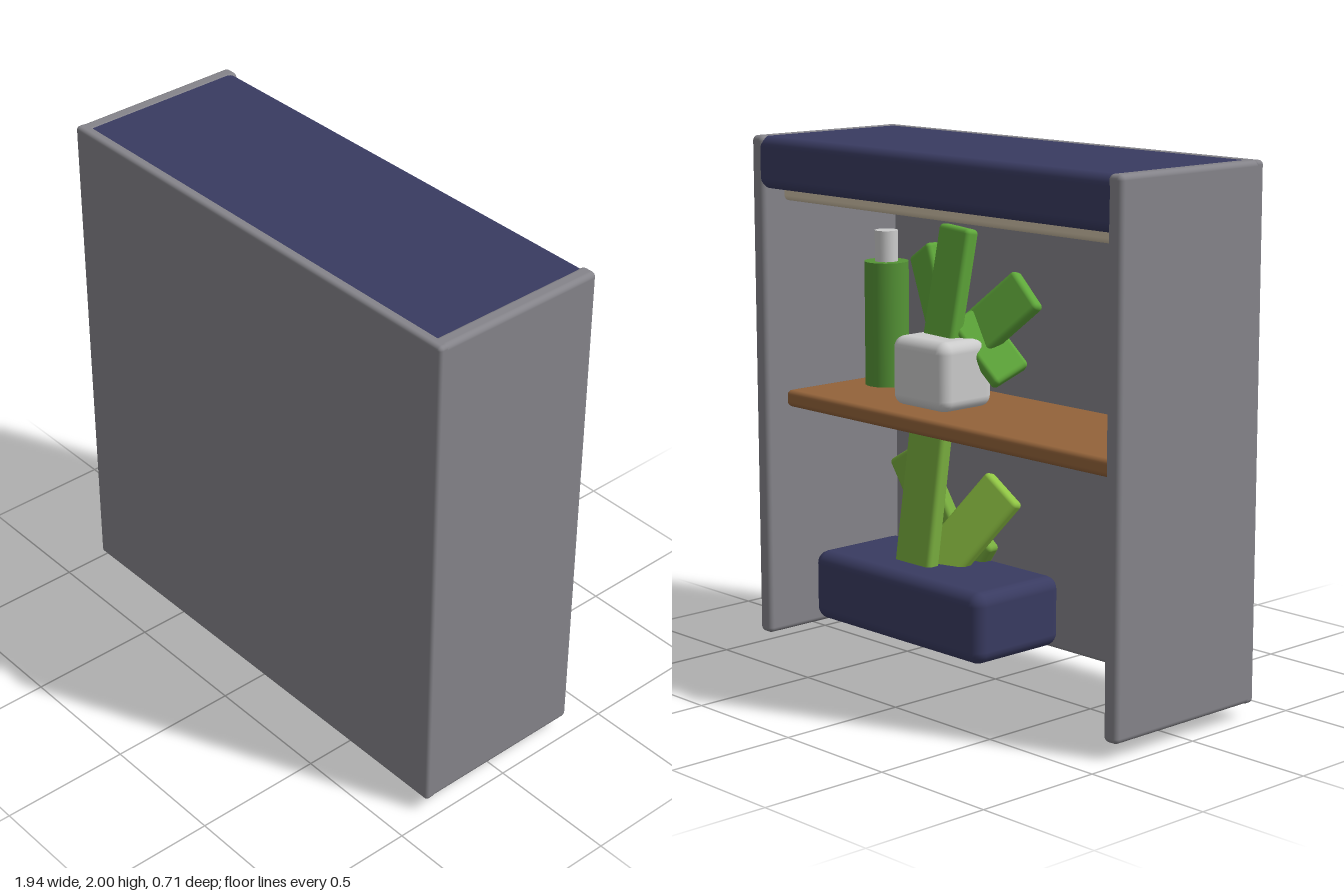
import * as THREE from 'three';
import { RoundedBoxGeometry } from 'three/addons/geometries/RoundedBoxGeometry.js';

const mat = (color) => new THREE.MeshStandardMaterial({ color });

export function createModel() {
  const group = new THREE.Group();
  const shell = mat(0x85848a), navy = mat(0x393b61), wood = mat(0x93633a);
  const cream = mat(0xcdbfa6), grey = mat(0xcccccc);
  const lime = mat(0x8fc443), lime2 = mat(0x78ad3e), green = mat(0x5fa83a), bottleGreen = mat(0x559436);

  const add = (parent, name, geometry, material) => {
    const mesh = new THREE.Mesh(geometry, material);
    mesh.name = name;
    parent.add(mesh);
    return mesh;
  };

  // Rounded box given by its min and max corners
  const block = (name, a, b, r, material) => {
    const size = a.map((v, i) => b[i] - v);
    const mesh = add(group, name, new RoundedBoxGeometry(...size, 3, r), material);
    mesh.position.set(...a.map((v, i) => (v + b[i]) / 2));
    return mesh;
  };

  // Flat leaf running from base to tip, its broad side turned toward facing
  const leaf = (parent, name, base, tip, width, facing, material) => {
    const p = new THREE.Vector3(...base), q = new THREE.Vector3(...tip);
    const axis = q.clone().sub(p), length = axis.length();
    axis.normalize();
    const side = axis.clone().cross(new THREE.Vector3(...facing)).normalize();
    const normal = side.clone().cross(axis);
    const mesh = add(parent, name, new RoundedBoxGeometry(width, length, 0.06, 3, 0.018), material);
    mesh.quaternion.setFromRotationMatrix(new THREE.Matrix4().makeBasis(side, axis, normal));
    mesh.position.copy(p).add(q).multiplyScalar(0.5);
  };

  // Cabinet shell, open at the back and at the bottom
  block('frontPanel', [-0.97, 0.055, 0.31], [0.97, 2, 0.355], 0.015, shell);
  block('leftPanel', [0.905, 0.055, -0.355], [0.97, 2, 0.355], 0.02, shell);
  block('rightPanel', [-0.97, 0.055, -0.355], [-0.905, 2, 0.355], 0.02, shell);
  block('topBoard', [-0.967, 1.8, -0.353], [0.967, 1.998, 0.352], 0.04, navy);

  // Light strip and shelf
  block('lightPanel', [-0.905, 1.75, -0.26], [0.905, 1.81, 0.24], 0.02, cream);
  block('shelf', [-0.905, 0.95, -0.26], [0.905, 1.015, 0.315], 0.02, wood);

  // Bottle with a neck
  const bottle = new THREE.Group();
  bottle.name = 'bottle';
  bottle.position.set(0.73, 1.01, 0.11);
  group.add(bottle);
  add(bottle, 'bottleBody', new THREE.CylinderGeometry(0.086, 0.086, 0.49, 32), bottleGreen).position.y = 0.245;
  add(bottle, 'bottleNeck', new THREE.CylinderGeometry(0.045, 0.045, 0.12, 24), grey).position.y = 0.55;

  // Small pot and its plant on the shelf
  block('smallPot', [0.13, 1.01, -0.14], [0.43, 1.275, 0.12], 0.045, grey);
  const upper = new THREE.Group();
  upper.name = 'smallPlant';
  group.add(upper);
  [
    [[0.30, 1.17, -0.01], [0.27, 1.68, 0.07], 0.18, [0.1, 0, -1], green],
    [[0.30, 1.15, 0.06], [0.50, 1.57, 0.10], 0.18, [0.3, 0, -1], green],
    [[0.27, 1.20, 0.05], [0.02, 1.46, 0.19], 0.18, [-0.3, 0.3, -1], green],
    [[0.24, 1.35, 0.07], [0.05, 1.13, 0.13], 0.16, [-0.6, 0.6, -0.4], green],
  ].forEach(([a, b, w, f, m]) => leaf(upper, 'smallPlantLeaf', a, b, w, f, m));

  // Planter and its plant at the bottom
  block('planter', [-0.05, 0.08, -0.14], [0.9, 0.355, 0.3], 0.05, navy);
  const lower = new THREE.Group();
  lower.name = 'largePlant';
  group.add(lower);
  [
    [[0.48, 0.25, 0.02], [0.485, 0.89, 0.12], 0.2, [0, 0, -1], lime2],
    [[0.313, 0.045, 0.26], [0.713, 0.74, 0.2], 0.2, [0, 0, -1], lime2],
    [[0.45, 0.30, 0.08], [0.21, 0.66, 0.25], 0.19, [-0.3, 0.3, -1], lime],
    [[0.65, 0.052, 0.26], [0.335, 0.475, 0.24], 0.2, [0, 0, -1], lime2],
  ].forEach(([a, b, w, f, m]) => leaf(lower, 'largePlantLeaf', a, b, w, f, m));

  return group;
}
